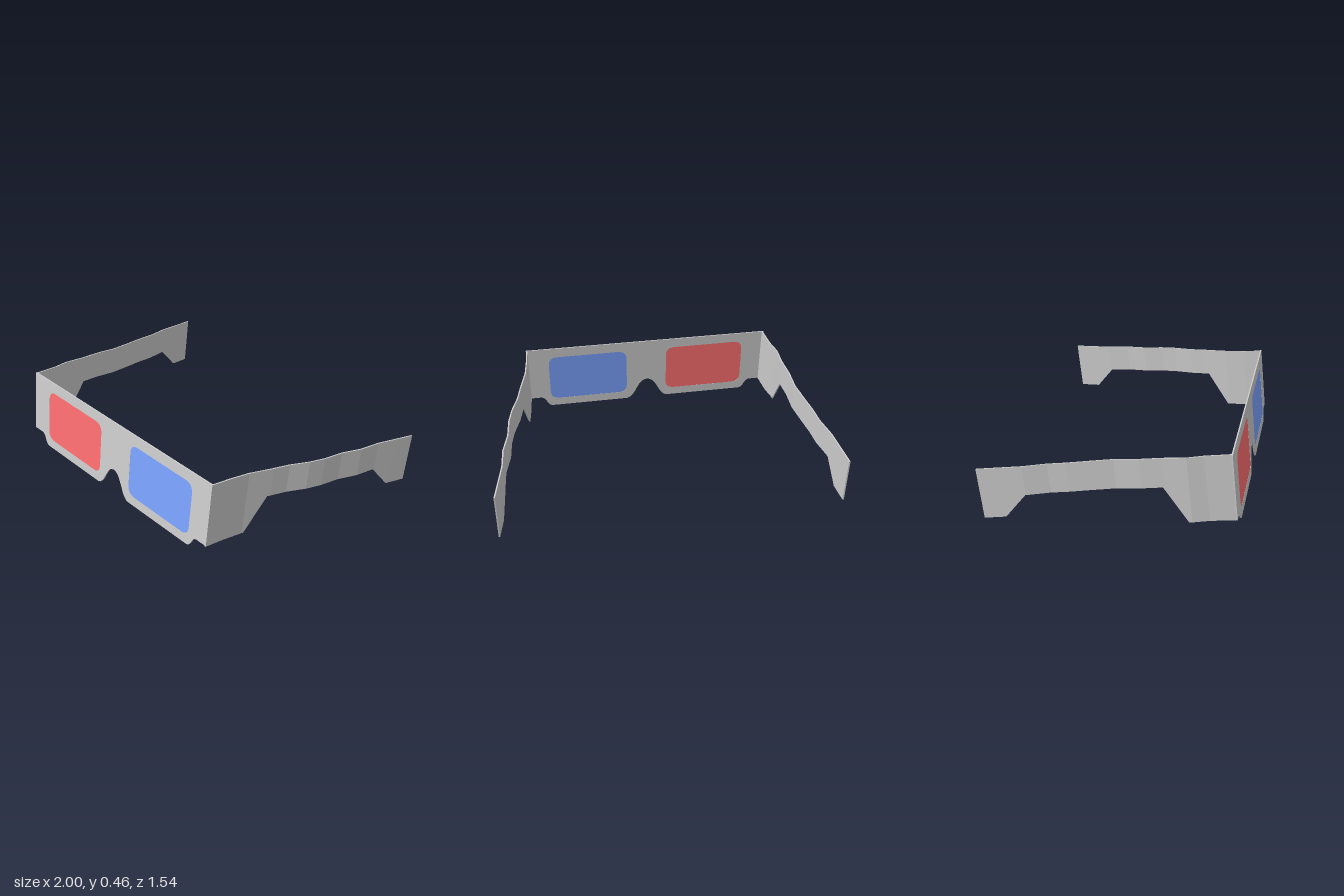
import * as THREE from 'three';

const THICK = 0.008;
const CENTRE = 0.045; // x of the nose bridge
const grey = new THREE.MeshStandardMaterial({ color: 0xcccccc, flatShading: true });
const red = new THREE.MeshStandardMaterial({ color: 0xff6e70 });
const blue = new THREE.MeshStandardMaterial({ color: 0x7ba3ff });

// Extrude a front-plane shape, then turn and tilt it into the plane of the card
function cardMesh(name, shape, depth, material) {
  const geo = new THREE.ExtrudeGeometry(shape, { depth, bevelEnabled: false, curveSegments: 10 });
  const p = geo.attributes.position;
  for (let i = 0; i < p.count; i++) {
    const x = p.getX(i), y = p.getY(i);
    p.setZ(i, p.getZ(i) - depth / 2 + 0.723 - 0.082 * (x + 0.75) + 0.112 * (0.465 - y));
  }
  geo.computeVertexNormals();
  const mesh = new THREE.Mesh(geo, material);
  mesh.name = name;
  return mesh;
}

function roundedRect(target, x0, x1, y0, y1, r) {
  target.moveTo(x0 + r, y0);
  target.lineTo(x1 - r, y0);
  target.quadraticCurveTo(x1, y0, x1, y0 + r);
  target.lineTo(x1, y1 - r);
  target.quadraticCurveTo(x1, y1, x1 - r, y1);
  target.lineTo(x0 + r, y1);
  target.quadraticCurveTo(x0, y1, x0, y1 - r);
  target.lineTo(x0, y0 + r);
  target.quadraticCurveTo(x0, y0, x0 + r, y0);
  return target;
}

// Frame outline: stepped lower corners and a nose arch
function frameShape() {
  const s = new THREE.Shape(), c = CENTRE;
  s.moveTo(c - 0.798, 0.464);
  s.lineTo(c - 0.798, 0.082);
  s.lineTo(c - 0.72, 0.082);
  s.bezierCurveTo(c - 0.68, 0.08, c - 0.69, 0.018, c - 0.645, 0.014);
  s.lineTo(c - 0.14, 0.014);
  s.bezierCurveTo(c - 0.075, 0.02, c - 0.07, 0.162, c, 0.162);
  s.bezierCurveTo(c + 0.07, 0.162, c + 0.075, 0.02, c + 0.14, 0.014);
  s.lineTo(c + 0.645, 0.014);
  s.bezierCurveTo(c + 0.69, 0.018, c + 0.68, 0.08, c + 0.72, 0.085);
  s.lineTo(c + 0.796, 0.085);
  s.lineTo(c + 0.796, 0.468);
  s.closePath();
  return s;
}

// Linear interpolation in a list of [t, value]
function sample(list, t) {
  for (let i = 1; i < list.length; i++) {
    const [t0, v0] = list[i - 1], [t1, v1] = list[i];
    if (t <= t1) return v0 + (v1 - v0) * (t - t0) / (t1 - t0);
  }
  return list[list.length - 1][1];
}

// Height of the arm below its top edge, along its length
const armDepth = [[0, 0.385], [0.253, 0.38], [0.375, 0.17], [1.11, 0.17], [1.235, 0.295], [1.36, 0.295]];

// Wavy card arm: a thin rectangular section swept along path [z, x]
function arm(name, path) {
  const z0 = path[0][0];
  const bends = path.map(([z, x]) => [z0 - z, x]);
  const end = bends[bends.length - 1][0];
  const ts = [...bends, ...armDepth].map(e => Math.min(e[0], end)).sort((a, b) => a - b)
    .filter((t, i, all) => i === 0 || t - all[i - 1] > 1e-4);
  const pos = [], idx = [], h = THICK / 2;
  ts.forEach((t, i) => {
    const x = sample(bends, t), d = sample(armDepth, t);
    const top = 0.465 - 0.1185 * t, z = z0 - t, zb = z + 0.115 * d;
    pos.push(x + h, top, z, x + h, top - d, zb, x - h, top - d, zb, x - h, top, z);
    if (i === 0) return;
    const a = (i - 1) * 4, b = i * 4;
    for (let k = 0; k < 4; k++) {
      const n = (k + 1) % 4;
      idx.push(a + k, a + n, b + n, a + k, b + n, b + k);
    }
  });
  const e = (ts.length - 1) * 4;
  idx.push(0, 3, 2, 0, 2, 1, e, e + 1, e + 2, e, e + 2, e + 3);
  const indexed = new THREE.BufferGeometry();
  indexed.setAttribute('position', new THREE.Float32BufferAttribute(pos, 3));
  indexed.setIndex(idx);
  const geo = indexed.toNonIndexed();
  geo.computeVertexNormals();
  const mesh = new THREE.Mesh(geo, grey);
  mesh.name = name;
  return mesh;
}

export function createModel() {
  const group = new THREE.Group();
  group.name = 'cardGlasses';

  // Front card with two lens windows
  const lenses = [
    ['rightLens', -0.605, -0.085, red],
    ['leftLens', 0.183, 0.7, blue],
  ];
  const frame = frameShape();
  for (const [name, x0, x1, material] of lenses) {
    frame.holes.push(roundedRect(new THREE.Path(), x0, x1, 0.07, 0.4, 0.06));
    group.add(cardMesh(name, roundedRect(new THREE.Shape(), x0, x1, 0.07, 0.4, 0.06), THICK * 0.8, material));
  }
  group.add(cardMesh('frame', frame, THICK, grey));

  // Arms, each with its own bends
  group.add(arm('rightArm', [
    [0.725, -0.742], [0.58, -0.768], [0.49, -0.796], [0.36, -0.806], [0.24, -0.826], [0.1, -0.835],
    [-0.02, -0.862], [-0.15, -0.893], [-0.25, -0.91], [-0.38, -0.95], [-0.49, -0.97], [-0.63, -0.996],
  ]));
  group.add(arm('leftArm', [
    [0.595, 0.835], [0.48, 0.835], [0.35, 0.842], [0.2, 0.87], [0.1, 0.885], [-0.02, 0.918],
    [-0.12, 0.933], [-0.25, 0.936], [-0.38, 0.96], [-0.52, 0.962], [-0.65, 0.98], [-0.77, 0.996],
  ]));
  return group;
}
